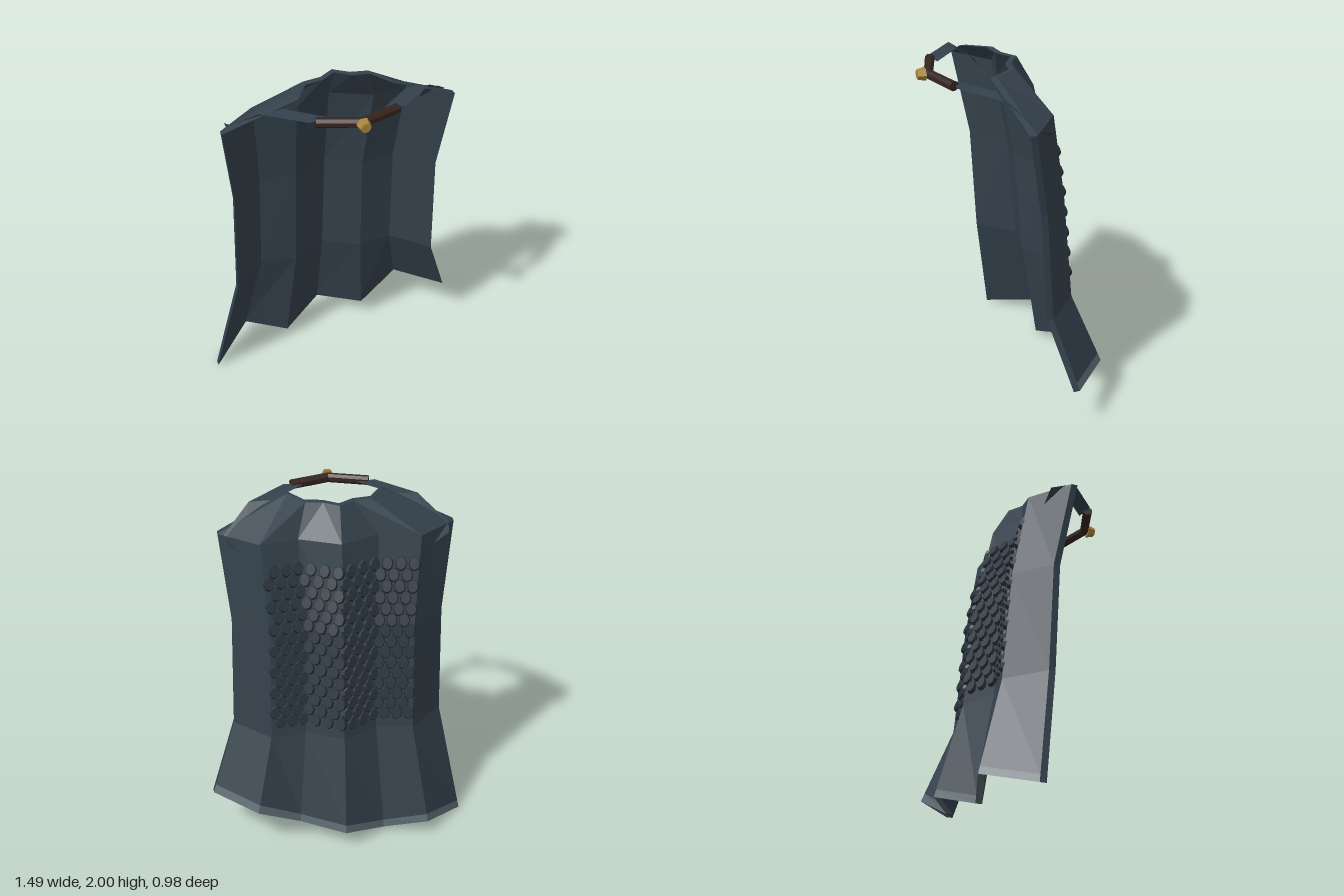
import * as THREE from 'three';
import { mergeGeometries } from 'three/addons/utils/BufferGeometryUtils.js';

const V = (x, y, z) => new THREE.Vector3(x, y, z);
const material = (color, side = THREE.FrontSide) =>
  new THREE.MeshStandardMaterial({ color, flatShading: true, side });

// Flat-shaded mesh from a list of four-cornered faces
function quadMesh(name, quads, mat) {
  const pos = [];
  for (const [a, b, c, d] of quads)
    for (const p of [a, b, c, a, c, d]) pos.push(p.x, p.y, p.z);
  const g = new THREE.BufferGeometry();
  g.setAttribute('position', new THREE.Float32BufferAttribute(pos, 3));
  g.computeVertexNormals();
  const m = new THREE.Mesh(g, mat);
  m.name = name;
  return m;
}

// Outer face of the cape: seven fold lines at five heights, bottom to top
function capeRows() {
  const row = (xs, ys, zs) => xs.map((x, i) =>
    V(x, Array.isArray(ys) ? ys[i] : ys, zs[Math.min(i, 6 - i)]));
  const rows = [
    row([-0.745, -0.5, -0.25, 0, 0.25, 0.5, 0.745],
      [0, 0.095, 0.025, 0.12, 0.12, 0.26, 0.265], [-0.175, -0.41, -0.335, -0.485]),
    row([-0.615, -0.42, -0.21, -0.01, 0.2, 0.4, 0.6], 0.675, [-0.065, -0.255, -0.225, -0.335]),
    row([-0.61, -0.42, -0.215, -0.01, 0.185, 0.385, 0.582], 1.32, [-0.027, -0.2, -0.165, -0.275]),
    row([-0.675, -0.46, -0.23, -0.015, 0.21, 0.42, 0.635], 1.82, [0.06, -0.115, -0.07, -0.17]),
    row([-0.28, -0.2, -0.1, -0.018, 0.065, 0.16, 0.243], 2, [0.135, 0.005, -0.012, -0.07]),
  ];
  // Hem line a little above the lower edge
  const hem = rows[0].map((p, i) => p.clone().lerp(rows[1][i], 0.045 / (rows[1][i].y - p.y)));
  rows.splice(1, 0, hem);
  return rows;
}

// Point on the outer face at fold coordinate u (0..6) and height y
function capePoint(rows, u, y) {
  const i = Math.min(5, Math.floor(u));
  let j = 1;
  while (j < 4 && rows[j + 1][i].y < y) j++;
  const at = (r) => r[i].clone().lerp(r[i + 1], u - i);
  const a = at(rows[j]), b = at(rows[j + 1]);
  return a.lerp(b, (y - a.y) / (b.y - a.y));
}

// Overlapping scales on the back
function scales(rows, mat) {
  const base = new THREE.CylinderGeometry(0.027, 0.035, 0.02, 8)
    .rotateX(Math.PI / 2).scale(1, 1.3, 1).rotateX(-0.16);
  const parts = [];
  const lines = 15, perLine = 12;
  for (let r = 0; r < lines; r++) {
    const y = 0.77 + r * 0.064;
    for (let c = 0; c < perLine; c++) {
      const u = 1.12 + (c + (r % 2) * 0.5) * 0.327;
      const p = capePoint(rows, u, y);
      const fold = Math.floor(u);
      const X = capePoint(rows, fold + 0.1, y).sub(capePoint(rows, fold + 0.9, y)).normalize();
      const up = capePoint(rows, u, y + 0.02).sub(p);
      const Z = X.clone().cross(up).normalize();
      const Y = Z.clone().cross(X);
      const m = new THREE.Matrix4().makeBasis(X, Y, Z).setPosition(p.addScaledVector(Z, 0.004));
      parts.push(base.clone().applyMatrix4(m));
    }
  }
  const mesh = new THREE.Mesh(mergeGeometries(parts), mat);
  mesh.name = 'backScales';
  return mesh;
}

// Bent bar of the clasp: octagonal section swept through three stations
function claspBar(mat) {
  const sections = [[-0.243, 0.355], [-0.02, 0.43], [0.198, 0.355]].map(([x, z], s) => {
    const ring = [];
    for (let k = 0; k < 8; k++) {
      const a = (k + 0.5) * Math.PI / 4;
      const out = Math.cos(a) * 0.027;
      ring.push(V(x + (s - 1) * out * 0.3, 1.962 + Math.sin(a) * 0.027, z + out));
    }
    return ring;
  });
  const quads = [];
  for (let s = 0; s < 2; s++)
    for (let k = 0; k < 8; k++) {
      const n = (k + 1) % 8;
      quads.push([sections[s][k], sections[s + 1][k], sections[s + 1][n], sections[s][n]]);
    }
  for (const r of [sections[0], sections[2]])
    for (let k = 1; k < 7; k += 2) quads.push([r[0], r[k], r[k + 1], r[(k + 2) % 8]]);
  return quadMesh('claspBar', quads, mat);
}

export function createModel() {
  const group = new THREE.Group();
  const cloth = material(0x34414c);
  const strapMat = material(0x34414c, THREE.DoubleSide);
  const hemMat = material(0x5a676e);
  const rows = capeRows();
  const inner = rows.map((r) => r.map((p) => p.clone().add(V(0, 0, 0.037))));

  // Folded cape with thickness, and its pale hem
  const body = [], hem = [];
  for (let i = 0; i < 6; i++) {
    for (let j = 0; j < 5; j++) {
      (j === 0 ? hem : body).push([rows[j][i], rows[j + 1][i], rows[j + 1][i + 1], rows[j][i + 1]]);
      body.push([inner[j][i], inner[j][i + 1], inner[j + 1][i + 1], inner[j + 1][i]]);
    }
    hem.push([rows[0][i], rows[0][i + 1], inner[0][i + 1], inner[0][i]]);
    body.push([rows[5][i], inner[5][i], inner[5][i + 1], rows[5][i + 1]]);
  }
  for (let j = 0; j < 5; j++) {
    body.push([rows[j][0], inner[j][0], inner[j + 1][0], rows[j + 1][0]]);
    body.push([rows[j][6], rows[j + 1][6], inner[j + 1][6], inner[j][6]]);
  }
  group.add(quadMesh('cape', body, cloth), quadMesh('hem', hem, hemMat));
  group.add(scales(rows, material(0x29333c)));

  // Flat straps running over the shoulders, ends poking out behind
  for (const side of [-1, 1]) {
    const pt = (x, y, z) => V(-0.018 + side * x, y, z);
    const outer = [pt(0.26, 1.966, 0.355), pt(0.47, 1.95, 0.17), pt(0.62, 1.825, 0.03), pt(0.61, 1.8, -0.045)];
    const inside = [pt(0.15, 1.966, 0.335), pt(0.34, 1.955, 0.165), pt(0.5, 1.82, 0.01), pt(0.5, 1.72, -0.055)];
    const quads = [];
    for (let k = 0; k < 3; k++)
      quads.push([outer[k], outer[k + 1], inside[k + 1], inside[k]]);
    group.add(quadMesh(side > 0 ? 'leftStrap' : 'rightStrap', quads, strapMat));
  }

  // Clasp with a six-sided stud
  group.add(claspBar(material(0x35241e, THREE.DoubleSide)));
  const stud = new THREE.Mesh(
    new THREE.CylinderGeometry(0.028, 0.038, 0.045, 6, 1, false, Math.PI / 6).rotateX(Math.PI / 2),
    material(0xa8853a));
  stud.position.set(-0.022, 1.964, 0.47);
  stud.name = 'claspStud';
  group.add(stud);
  return group;
}
